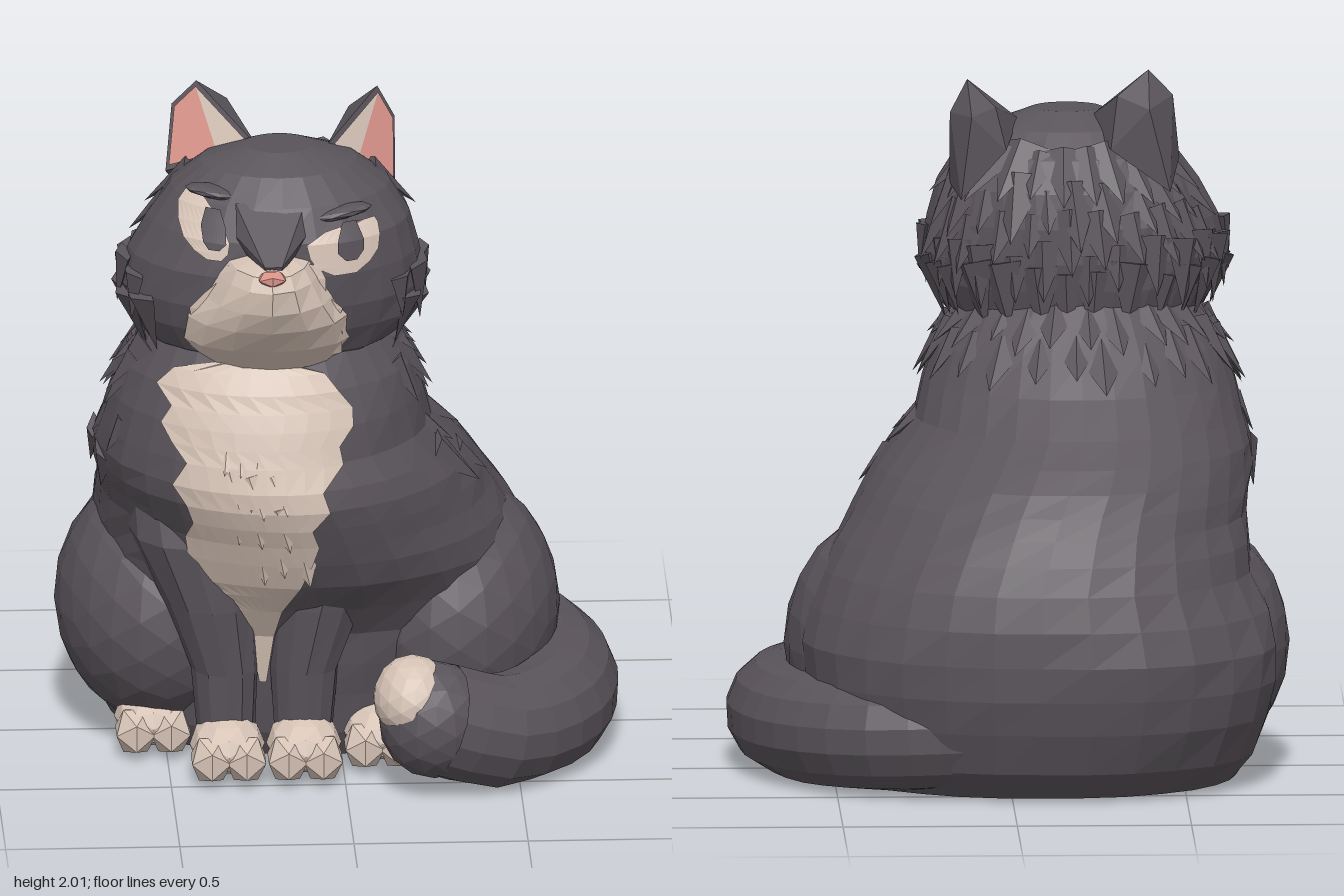
import * as THREE from 'three';
import { mergeGeometries } from 'three/addons/utils/BufferGeometryUtils.js';
import { ConvexGeometry } from 'three/addons/geometries/ConvexGeometry.js';

const mat = (name, color) => {
  const m = new THREE.MeshStandardMaterial({ color, flatShading: true, side: THREE.DoubleSide });
  m.name = name;
  return m;
};
const V = (a) => new THREE.Vector3(...a);

// Cross-sections: [y, centre x, half width, back z, front z, bulge of the right rear corner]
const TORSO = [
  [0, -0.08, 0.57, -0.6, 0.28, 0.05], [0.08, -0.08, 0.62, -0.67, 0.32, 0.08], [0.2, -0.08, 0.66, -0.715, 0.34, 0.1],
  [0.3, -0.08, 0.675, -0.735, 0.36, 0.11], [0.4, -0.08, 0.68, -0.742, 0.38, 0.11], [0.5, -0.08, 0.66, -0.732, 0.45, 0.1],
  [0.6, -0.08, 0.62, -0.705, 0.53, 0.08], [0.68, -0.1, 0.595, -0.675, 0.57, 0.06], [0.75, -0.12, 0.57, -0.635, 0.6, 0.04],
  [0.81, -0.14, 0.56, -0.6, 0.63, 0.02], [0.87, -0.165, 0.545, -0.55, 0.65, 0], [0.93, -0.19, 0.52, -0.48, 0.65, 0],
  [1.0, -0.21, 0.48, -0.39, 0.63, 0], [1.1, -0.21, 0.455, -0.27, 0.6, 0], [1.2, -0.21, 0.42, -0.18, 0.56, 0],
  [1.3, -0.21, 0.36, -0.09, 0.5, 0], [1.4, -0.21, 0.25, 0, 0.4, 0],
];
const HEAD = [
  [1.23, -0.2, 0.25, 0, 0.42], [1.3, -0.2, 0.37, -0.05, 0.51], [1.38, -0.2, 0.425, -0.07, 0.55],
  [1.46, -0.2, 0.445, -0.075, 0.57], [1.56, -0.195, 0.42, -0.07, 0.58], [1.66, -0.18, 0.38, -0.045, 0.565],
  [1.75, -0.18, 0.32, 0, 0.51], [1.82, -0.18, 0.23, 0.08, 0.44], [1.865, -0.18, 0.1, 0.18, 0.35],
];
const MUZZLE = [
  [1.27, -0.21, 0.2, 0.25, 0.53], [1.35, -0.22, 0.25, 0.25, 0.61], [1.43, -0.22, 0.24, 0.25, 0.675],
  [1.5, -0.22, 0.19, 0.25, 0.72], [1.57, -0.22, 0.15, 0.25, 0.73], [1.61, -0.22, 0.125, 0.25, 0.71],
  [1.63, -0.22, 0.07, 0.25, 0.66],
];
// Pale markings: [y, right edge x, left edge x]
const BIB = [[1.29, -0.32, -0.2], [1.25, -0.49, -0.06], [1.2, -0.54, -0.02], [1.15, -0.5, 0.02], [1.1, -0.53, 0.02],
  [1.05, -0.5, -0.02], [1.0, -0.46, -0.01], [0.93, -0.5, -0.07], [0.87, -0.46, -0.05], [0.81, -0.44, -0.1],
  [0.75, -0.46, -0.08], [0.68, -0.45, -0.1], [0.6, -0.44, -0.13], [0.56, -0.38, -0.15], [0.5, -0.3, -0.18],
  [0.4, -0.27, -0.2], [0.25, -0.24, -0.22]];
const CHIN = [[1.62, -0.24, -0.2], [1.6, -0.34, -0.08], [1.56, -0.36, -0.06], [1.51, -0.41, -0.06], [1.46, -0.45, -0.01],
  [1.41, -0.44, -0.03], [1.38, -0.45, -0.01], [1.3, -0.4, -0.01], [1.26, -0.32, -0.1]];

function ringAt(rings, y) {
  let i = 0;
  while (i < rings.length - 2 && y > rings[i + 1][0]) i++;
  const a = rings[i], b = rings[i + 1];
  const t = THREE.MathUtils.clamp((y - a[0]) / (b[0] - a[0]), 0, 1);
  return a.map((v, k) => v + (b[k] - v) * t);
}

function ringPoint([y, cx, rx, zb, zf, bulge = 0], a, s = 1) {
  const sin = Math.sin(a), cos = Math.cos(a);
  const k = s * (sin < 0 && cos < 0 ? 1 + 2 * bulge * sin * cos : 1);
  return new THREE.Vector3(cx + rx * k * sin, y, (zb + zf) / 2 + ((zf - zb) / 2) * k * cos);
}

function frontZ(rings, x, y) {
  const [, cx, rx, zb, zf] = ringAt(rings, y);
  return (zb + zf) / 2 + ((zf - zb) / 2) * Math.sqrt(Math.max(0, 1 - ((x - cx) / rx) ** 2));
}

function indexed(points, index) {
  const g = new THREE.BufferGeometry().setFromPoints(points);
  g.setIndex(index);
  g.computeVertexNormals();
  return g;
}

export function createModel() {
  const cat = new THREE.Group();
  const fur = mat('charcoal fur', 0x59535a);
  const cream = mat('cream fur', 0xd7c4b7);
  const pink = mat('pink skin', 0xd9948a);
  let seed = 7;
  const rnd = () => (seed = (seed * 16807) % 2147483647) / 2147483647;

  const add = (name, geo, m) => {
    const mesh = new THREE.Mesh(geo, m);
    mesh.name = name;
    cat.add(mesh);
    return mesh;
  };

  // Closed skin over stacked elliptical sections, slightly faceted
  const loft = (name, m, rings, seg, jitter) => {
    const pts = [], idx = [], n = rings.length;
    rings.forEach((r) => {
      for (let j = 0; j < seg; j++) pts.push(ringPoint(r, (j / seg) * Math.PI * 2, 1 - jitter * rnd()));
    });
    const bottom = pts.push(ringPoint(rings[0], 0, 0)) - 1;
    const top = pts.push(ringPoint(rings[n - 1], 0, 0)) - 1;
    for (let j = 0; j < seg; j++) {
      const k = (j + 1) % seg, o = (n - 1) * seg;
      for (let i = 0; i < n - 1; i++) {
        const a = i * seg + j, b = i * seg + k;
        idx.push(a, b, b + seg, a, b + seg, a + seg);
      }
      idx.push(bottom, k, j, top, o + j, o + k);
    }
    return add(name, indexed(pts, idx), m);
  };

  // Marking laid over the front of a skin, row by row from the top
  const marking = (name, m, rings, rows, offset, cols = 8) => {
    const pts = [], idx = [];
    rows.forEach(([y, x0, x1], i) => {
      for (let j = 0; j <= cols; j++) {
        const x = x0 + ((x1 - x0) * j) / cols;
        pts.push(new THREE.Vector3(x, y, frontZ(rings, x, y) + offset));
        const a = (i - 1) * (cols + 1) + j, b = a + cols + 1;
        if (i && j < cols) idx.push(a, b, b + 1, a, b + 1, a + 1);
      }
    });
    return add(name, indexed(pts, idx), m);
  };

  const blob = (name, m, pos, size, detail = 1, roll = 0) => {
    const mesh = add(name, new THREE.IcosahedronGeometry(1, detail), m);
    mesh.position.set(...pos);
    mesh.scale.set(...size);
    mesh.rotation.z = roll;
    return mesh;
  };

  // Rows of flat downward locks, root buried and tip lifted; angles in degrees, 0 = front, 90 = +x
  const tufts = (name, m, rings, rows, from, to, count, len, lift = 0.3) => {
    const locks = [];
    rows.forEach((y, row) => {
      for (let i = 0; i < count; i++) {
        const t = (i + 0.5 * (row % 2) + 0.4 * rnd()) / count;
        const a = THREE.MathUtils.degToRad(from + (to - from) * t);
        const l = len * (0.75 + 0.5 * rnd());
        const r = ringAt(rings, y + (rnd() - 0.5) * 0.04), below = ringAt(rings, r[0] - 0.05);
        const p = ringPoint(r, a);
        const slope = ringPoint(below, a).sub(p).normalize();
        const side = new THREE.Vector3(Math.cos(a), 0, -Math.sin(a));
        const out = side.clone().cross(slope).normalize();
        if (out.dot(new THREE.Vector3(Math.sin(a), 0, Math.cos(a))) < 0) out.negate();
        const dir = slope.addScaledVector(out, lift).normalize();
        const g = new THREE.ConeGeometry(l * 0.42, l, 4).scale(1, 1, 0.4);
        const x = dir.clone().cross(out).normalize();
        g.applyMatrix4(new THREE.Matrix4().makeBasis(x, dir, x.clone().cross(dir)));
        p.addScaledVector(out, -0.006);
        locks.push(g.translate(p.x, p.y, p.z));
      }
    });
    add(name, mergeGeometries(locks), m);
  };

  // Body, haunches and chest bib
  loft('torso', fur, TORSO, 30, 0.015);
  blob('rightHaunch', fur, [-0.5, 0.37, -0.07], [0.31, 0.36, 0.42], 3);
  blob('leftHaunch', fur, [0.33, 0.36, -0.01], [0.31, 0.37, 0.42], 3);
  marking('chestBib', cream, TORSO, BIB, 0.008);
  tufts('chestTufts', cream, TORSO, [1.05, 0.93, 0.81, 0.7], -19, 0, 3, 0.14);

  // Front legs, mirrored about x = -0.225
  for (const [side, s] of [['right', -1], ['left', 1]]) {
    const leg = [[0.03, 0.11, 0.08, 0.28, 0.42], [0.3, 0.115, 0.1, 0.24, 0.44], [0.5, 0.155, 0.14, 0.14, 0.47],
      [0.7, 0.21, 0.18, 0.05, 0.48], [0.88, 0.24, 0.16, 0, 0.42]].map(([y, x, ...r]) => [y, -0.225 + s * x, ...r]);
    loft(side + 'FrontLeg', fur, leg, 12, 0.05);
  }

  // Paws, each with two chunky toes
  for (const [name, x, z] of [['rightHindPaw', -0.54, 0.15], ['rightFrontPaw', -0.335, 0.4],
    ['leftFrontPaw', -0.115, 0.4], ['leftHindPaw', 0.11, 0.3]]) {
    blob(name, cream, [x, 0.085, z], [0.108, 0.085, 0.13]);
    for (const i of [-1, 1]) blob(name + 'Toe', cream, [x + i * 0.05, 0.064, z + 0.075], [0.066, 0.075, 0.09], 0);
  }

  // Tail curled round the left side, flat on the ground, pale on top of the tip
  const path = new THREE.CatmullRomCurve3([[0.1, 0.18, -0.5], [0.38, 0.165, -0.44], [0.57, 0.15, -0.22], [0.64, 0.145, 0.08],
    [0.58, 0.14, 0.35], [0.43, 0.15, 0.51], [0.27, 0.21, 0.57]].map(V));
  const tail = new THREE.TubeGeometry(path, 18, 0.165, 14);
  const tp = tail.attributes.position;
  for (let i = 0; i < tp.count; i++) tp.setY(i, Math.max(0, tp.getY(i)));
  add('tail', tail, fur);
  blob('tailEnd', fur, [0.25, 0.21, 0.57], [0.16, 0.17, 0.165], 2);
  blob('tailTip', cream, [0.19, 0.277, 0.57], [0.115, 0.122, 0.142], 2);

  // Head, muzzle, bridge and nose
  loft('head', fur, HEAD, 24, 0.025);
  marking('chin', cream, HEAD, CHIN, 0.008);
  loft('muzzle', cream, MUZZLE, 14, 0.03);
  const bridge = [];
  for (const s of [-1, 1])
    for (const [w, y, z] of [[0.1, 1.76, 0.48], [0.1, 1.68, 0.54], [0.09, 1.6, 0.46], [0.05, 1.645, 0.6], [0.025, 1.632, 0.67], [0.025, 1.61, 0.66]])
      bridge.push(new THREE.Vector3(-0.215 + s * w, y, z));
  add('noseBridge', new ConvexGeometry(bridge), fur);
  blob('nose', pink, [-0.22, 1.607, 0.695], [0.045, 0.025, 0.038], 0);

  // Eyes and brows
  marking('leftEye', cream, HEAD, [[1.705, 0.04, 0.085], [1.69, -0.06, 0.095], [1.66, -0.115, 0.1], [1.62, -0.105, 0.095],
    [1.59, -0.085, 0.07], [1.565, -0.035, 0.03]], 0.008);
  marking('leftPupil', fur, HEAD, [[1.71, -0.01, 0.03], [1.66, -0.025, 0.052], [1.63, -0.025, 0.052], [1.605, 0, 0.032]], 0.015);
  marking('rightEye', cream, HEAD, [[1.77, -0.45, -0.41], [1.74, -0.475, -0.38], [1.7, -0.478, -0.35], [1.66, -0.465, -0.335],
    [1.63, -0.435, -0.34], [1.61, -0.4, -0.36]], 0.008);
  marking('rightPupil', fur, HEAD, [[1.745, -0.4, -0.36], [1.7, -0.415, -0.345], [1.66, -0.41, -0.345], [1.64, -0.395, -0.365]], 0.015);
  blob('leftBrow', fur, [-0.04, 1.722, 0.465], [0.12, 0.02, 0.05], 1, 0.18);
  blob('rightBrow', fur, [-0.36, 1.772, 0.41], [0.1, 0.018, 0.05], 1, -0.18);

  // Ears: dark shell, pale inner edge and pink skin
  const ear = (name, inner, outer, tip, backs) => {
    const A = V(inner), B = V(outer), T = V(tip);
    const ab = B.clone().sub(A), at = T.clone().sub(A);
    const M = A.clone().addScaledVector(ab, 0.4).addScaledVector(at, 0.8);
    add(name, new ConvexGeometry([A, B, M, T, ...backs.map(V)]), fur);
    const n = ab.clone().cross(at).normalize();
    if (n.z < 0) n.negate();
    const c = A.clone().add(B).add(M).add(T).multiplyScalar(0.25);
    const [a, b, m, t] = [A, B, M, T].map((p) => p.clone().lerp(c, 0.13).addScaledVector(n, 0.007));
    const q = a.clone().lerp(b, 0.4);
    add(name + 'Fluff', indexed([a, q, t], [0, 1, 2]), cream);
    add(name + 'Skin', indexed([q, b, m, t], [0, 1, 2, 0, 2, 3]), pink);
  };
  ear('leftEar', [-0.04, 1.84, 0.22], [0.16, 1.67, 0.14], [0.11, 1.975, 0.1],
    [[0, 1.78, 0.02], [0.13, 1.64, 0], [0.1, 1.88, 0], [0.03, 1.9, 0.06]]);
  ear('rightEar', [-0.24, 1.84, 0.22], [-0.5, 1.74, 0.14], [-0.41, 2, 0.1],
    [[-0.3, 1.78, 0.02], [-0.47, 1.66, 0], [-0.41, 1.9, 0], [-0.32, 1.93, 0.06]]);

  // Shaggy fur on the back of the head, cheeks, neck and shoulders
  tufts('headFur', fur, HEAD, [1.7, 1.61, 1.52, 1.43, 1.36], 105, 255, 11, 0.17);
  tufts('leftCheekFur', fur, HEAD, [1.45, 1.36], 55, 105, 3, 0.16);
  tufts('rightCheekFur', fur, HEAD, [1.45, 1.36], -105, -55, 3, 0.16);
  tufts('neckFur', fur, TORSO, [1.27, 1.19], 75, 285, 14, 0.17);
  tufts('leftShoulderFur', fur, TORSO, [1.15, 1.0, 0.87], 65, 95, 2, 0.16, 0.2);
  tufts('rightShoulderFur', fur, TORSO, [1.15, 1.0, 0.87], -95, -65, 2, 0.16, 0.2);

  return cat;
}
